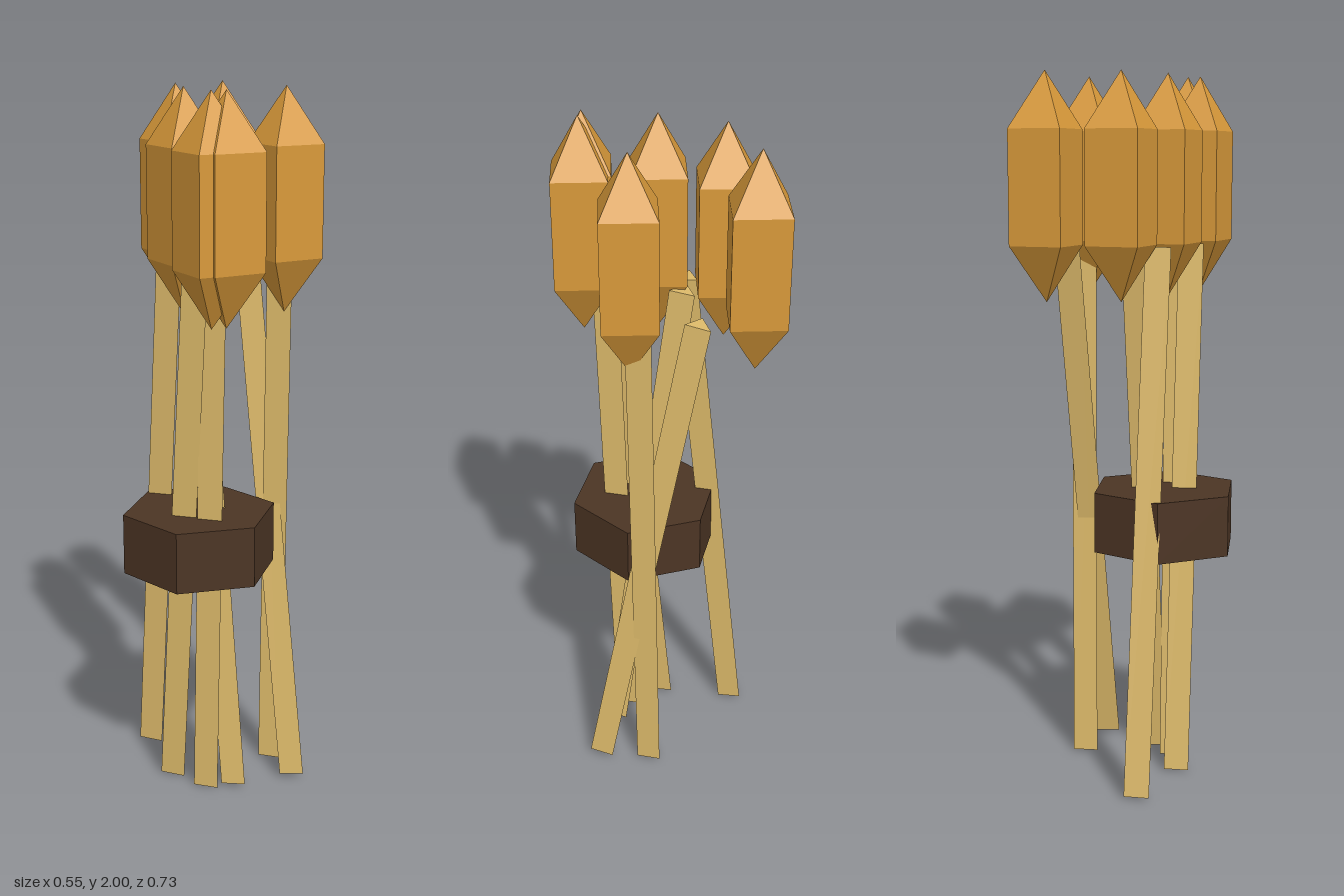
import * as THREE from 'three';

export function createModel() {
  const model = new THREE.Group();
  const mat = (name, color) => {
    const m = new THREE.MeshStandardMaterial({ color, flatShading: true });
    m.name = name;
    return m;
  };
  const headMat = mat('amber seed head', 0xd99a3a);
  const stalkMat = mat('straw stalk', 0xddba6a);
  const bandMat = mat('dark brown band', 0x4c3524);

  const add = (name, geometry, material, x, y, z) => {
    const mesh = new THREE.Mesh(geometry, material);
    mesh.name = name;
    mesh.position.set(x, y, z);
    model.add(mesh);
    return mesh;
  };

  // Four-sided seed heads, pointed at both ends
  const headProfile = [[0, -0.305], [0.106, -0.153], [0.106, 0.153], [0, 0.305]]
    .map(([r, y]) => new THREE.Vector2(r, y));
  const headGeo = new THREE.LatheGeometry(headProfile, 4);
  [[-0.07, -0.258], [-0.153, -0.075], [0.17, -0.034],
    [-0.077, 0.097], [0.044, 0.255], [0.078, 0.233]]
    .forEach(([x, z], i) => add('seedHead' + (i + 1), headGeo, headMat, x, 1.695, z));

  // Three-sided stalks leaning between bottom (x, z) and top (x, z)
  const stalkGeo = new THREE.CylinderGeometry(0.041, 0.041, 1.535, 3);
  stalkGeo.rotateY(Math.PI);
  const up = new THREE.Vector3(0, 1, 0);
  [[0.235, 0.05, 0.035, -0.155],
    [-0.242, -0.066, -0.133, 0.045],
    [0.08, 0.14, -0.072, 0],
    [-0.112, 0.12, -0.01, 0.205],
    [0.14, -0.064, 0.156, -0.055],
    [0.002, 0.16, 0.035, 0.185]].forEach(([bx, bz, tx, tz], i) => {
    const dir = new THREE.Vector3(tx - bx, 1.52, tz - bz).normalize();
    add('stalk' + (i + 1), stalkGeo, stalkMat, (bx + tx) / 2, 0.77, (bz + tz) / 2)
      .quaternion.setFromUnitVectors(up, dir);
  });

  // Hexagonal band tying the bundle
  add('band', new THREE.CylinderGeometry(0.219, 0.219, 0.173, 6), bandMat, -0.034, 0.753, 0.112);

  return model;
}
